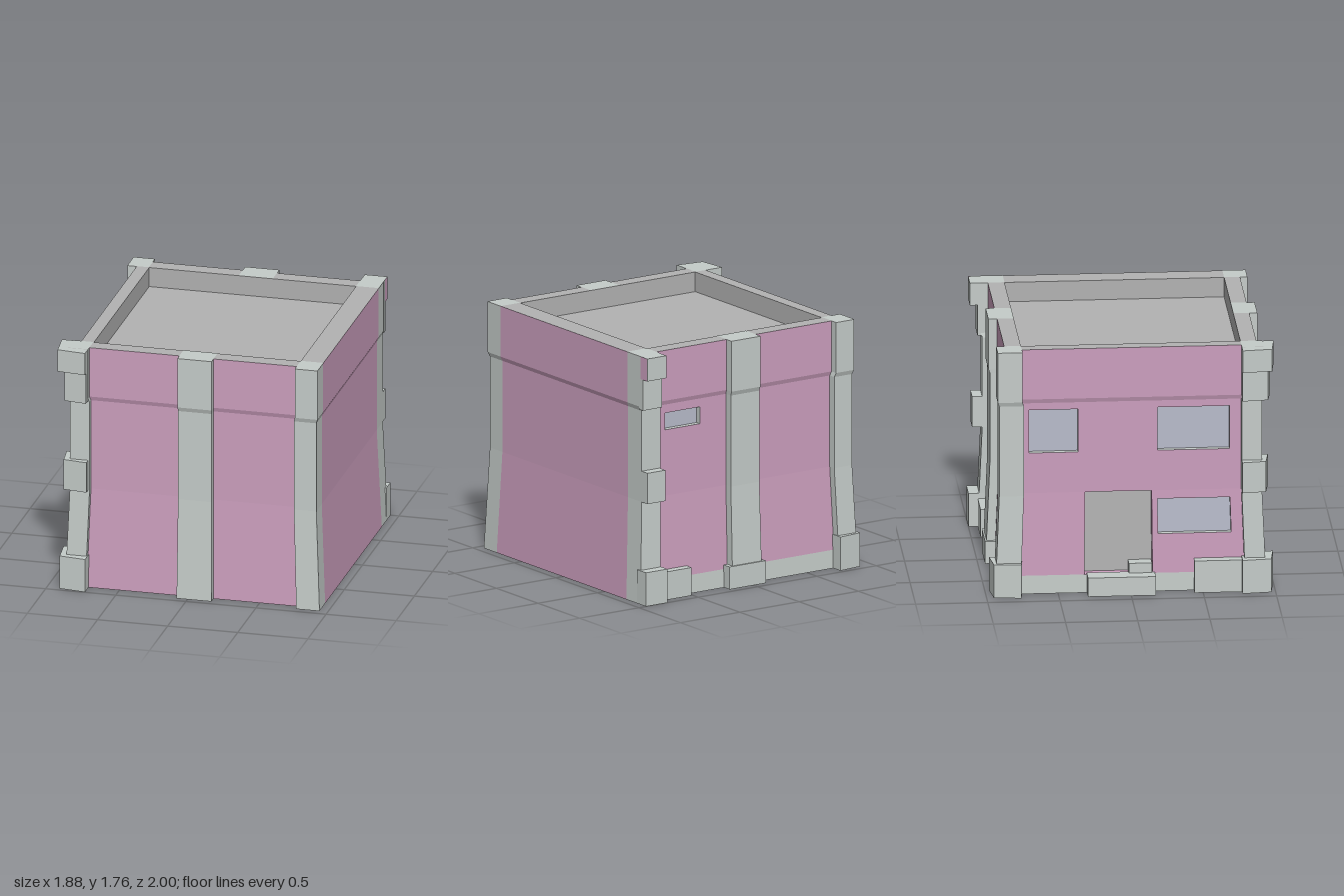
import * as THREE from 'three';

const mat = (color) => new THREE.MeshStandardMaterial({ color, flatShading: true, side: THREE.DoubleSide });
const STONE = mat(0xc5ccc9), PINK = mat(0xcc9fbe), ROOF = mat(0xb2b2b2), GLASS = mat(0xb8bccb);

const TOP = 1.76, ROOF_Y = 1.62, PLINTH = 0.13;
// Flare of the walls: plan scale at each height
const FLARE = [[0, 1.033], [0.72, 1], [1.37, 1], [1.4, 1.012], [TOP, 1.012]];
function flare(y) {
  for (let i = 1; i < FLARE.length; i++) {
    const [y0, s0] = FLARE[i - 1], [y1, s1] = FLARE[i];
    if (y <= y1) return s0 + (s1 - s0) * (y - y0) / (y1 - y0);
  }
  return FLARE[FLARE.length - 1][1];
}

// Openings: a, b run along the wall (x or z)
const leftHoles = [
  { a: 0.19, b: 0.69, y0: 1.01, y1: 1.32, depth: 0.04, name: 'window' },
  { a: 0.19, b: 0.69, y0: 0.41, y1: 0.66, depth: 0.04, name: 'window' },
  { a: -0.70, b: -0.36, y0: 1.01, y1: 1.32, depth: 0.04, name: 'window' },
  { a: -0.31, b: 0.15, y0: PLINTH, y1: 0.72, depth: 0.08, name: 'door' },
];
const backHoles = [{ a: 0.385, b: 0.68, y0: 1.19, y1: 1.31, depth: 0.04, name: 'window' }];

// Plan outline at mid height: x, z, and the wall panel that starts at the point
const PLAN = [
  [-0.85, 0.91], [-0.71, 0.91], [-0.71, 0.87, { name: 'frontWall' }],
  [-0.075, 0.87], [-0.075, 0.925], [0.165, 0.925], [0.165, 0.87, { name: 'frontWall' }],
  [0.75, 0.87], [0.75, 0.92], [0.91, 0.92], [0.91, 0.77, { name: 'plainSideWall' }],
  [0.91, -0.74], [0.91, -0.905], [0.75, -0.905], [0.75, -0.855, { name: 'backWall', plinth: true, holes: backHoles }],
  [0.165, -0.855], [0.165, -0.915], [-0.075, -0.915], [-0.075, -0.855, { name: 'backWall', plinth: true }],
  [-0.71, -0.855], [-0.71, -0.91], [-0.86, -0.91], [-0.86, -0.74],
  [-0.795, -0.74, { name: 'doorWall', plinth: true, holes: leftHoles }], [-0.795, 0.77], [-0.85, 0.77],
];

export function createModel() {
  const group = new THREE.Group();

  const add = (name, geometry, material) => {
    const mesh = new THREE.Mesh(geometry, material);
    mesh.name = name;
    group.add(mesh);
    return mesh;
  };

  // Mesh from a list of four-cornered faces
  const addQuads = (name, quads, material) => {
    if (!quads.length) return;
    const pos = quads.flatMap(([a, b, c, d]) => [a, b, c, a, c, d].flatMap((p) => p.toArray()));
    const g = new THREE.BufferGeometry();
    g.setAttribute('position', new THREE.Float32BufferAttribute(pos, 3));
    g.computeVertexNormals();
    add(name, g, material);
  };

  // Upright prism over a plan outline
  const prism = (name, pts, y0, y1) => {
    const shape = new THREE.Shape(pts.map(([x, z]) => new THREE.Vector2(x, -z)));
    const g = new THREE.ExtrudeGeometry(shape, { depth: y1 - y0, bevelEnabled: false });
    g.rotateX(-Math.PI / 2).translate(0, y0, 0);
    add(name, g, STONE);
  };
  const rect = (x0, x1, z0, z1) => [[x0, z1], [x1, z1], [x1, z0], [x0, z0]];

  // Flared walls, piers and recessed openings
  const piers = [], plinth = [];
  PLAN.forEach(([x0, z0, panel], i) => {
    const [x1, z1] = PLAN[(i + 1) % PLAN.length];
    const alongX = Math.abs(x1 - x0) > Math.abs(z1 - z0);
    const toT = (u) => (alongX ? (u - x0) / (x1 - x0) : (u - z0) / (z1 - z0));
    const point = (t, y) => {
      const s = flare(y);
      return new THREE.Vector3((x0 + (x1 - x0) * t) * s, y, (z0 + (z1 - z0) * t) * s);
    };
    const holes = (panel?.holes ?? []).map((h) => {
      const [t0, t1] = [toT(h.a), toT(h.b)].sort((p, q) => p - q);
      return { ...h, t0, t1 };
    });
    const sorted = (list) => [...new Set(list)].sort((p, q) => p - q);
    const ts = sorted([0, 1, ...holes.flatMap((h) => [h.t0, h.t1])]);
    const ys = sorted([...FLARE.map((f) => f[0]), ...(panel?.plinth ? [PLINTH] : []), ...holes.flatMap((h) => [h.y0, h.y1])]);

    const wall = [];
    for (let j = 1; j < ts.length; j++) for (let k = 1; k < ys.length; k++) {
      const tm = (ts[j] + ts[j - 1]) / 2, ym = (ys[k] + ys[k - 1]) / 2;
      if (holes.some((h) => tm > h.t0 && tm < h.t1 && ym > h.y0 && ym < h.y1)) continue;
      const quad = [point(ts[j - 1], ys[k - 1]), point(ts[j], ys[k - 1]), point(ts[j], ys[k]), point(ts[j - 1], ys[k])];
      (!panel ? piers : panel.plinth && ym < PLINTH ? plinth : wall).push(quad);
    }
    if (panel) addQuads(panel.name, wall, PINK);

    const inward = new THREE.Vector3(z1 - z0, 0, x0 - x1).normalize();
    for (const h of holes) {
      const outer = [point(h.t0, h.y0), point(h.t1, h.y0), point(h.t1, h.y1), point(h.t0, h.y1)];
      const inner = outer.map((p) => p.clone().addScaledVector(inward, h.depth));
      const isDoor = h.name === 'door';
      addQuads(h.name, [inner], isDoor ? ROOF : GLASS);
      const reveal = outer.map((p, n) => [p, outer[(n + 1) % 4], inner[(n + 1) % 4], inner[n]]);
      addQuads(h.name + 'Reveal', reveal, isDoor ? PINK : STONE);
    }
  });
  addQuads('piers', piers, STONE);
  addQuads('plinth', plinth, STONE);

  // Parapet top, its inner sides and the sunken roof
  const s = flare(TOP);
  const inner = rect(-0.715, 0.76, -0.75, 0.77);
  const parapet = new THREE.Shape(PLAN.map(([x, z]) => new THREE.Vector2(x * s, -z * s)));
  parapet.holes.push(new THREE.Path(inner.map(([x, z]) => new THREE.Vector2(x, -z))));
  add('parapetTop', new THREE.ShapeGeometry(parapet).rotateX(-Math.PI / 2).translate(0, TOP, 0), ROOF);
  const level = (pts, y) => pts.map(([x, z]) => new THREE.Vector3(x, y, z));
  const lo = level(inner, ROOF_Y), hi = level(inner, TOP);
  addQuads('parapetInside', lo.map((p, n) => [lo[(n + 1) % 4], p, hi[n], hi[(n + 1) % 4]]), ROOF);
  addQuads('roof', [lo], ROOF);

  // Stone caps on top of the piers
  const caps = [
    rect(-0.86, -0.718, 0.77, 0.92), rect(-0.076, 0.167, 0.77, 0.936), rect(0.76, 0.921, 0.77, 0.931),
    rect(0.76, 0.921, -0.916, -0.75), rect(-0.076, 0.167, -0.926, -0.75), rect(-0.87, -0.718, -0.92, -0.75),
  ];
  addQuads('pierCaps', caps.map((c) => level(c, TOP + 0.002)), STONE);

  // Quoins on the front corner beside the door wall: reach in x and z, bottom, top
  for (const [x, z, y0, y1] of [[-0.93, 0.995, 0, 0.24], [-0.91, 0.96, 0.72, 0.94], [-0.9, 0.975, 1.38, 1.6], [-0.943, 1, 1.6, TOP]])
    prism('frontCornerQuoin', [[-0.72, 0.77], [x, 0.77], [x + 0.022, z - 0.025], [-0.72, z]], y0, y1);

  // Quoins on the back corner beside the plain wall
  for (const [x, z, y0, y1] of [[0.94, -1, 0, 0.24], [0.91, -0.975, 0.72, 0.94], [0.921, -0.937, 1.38, 1.6], [0.921, -0.99, 1.6, TOP]])
    prism('backCornerQuoin', rect(0.76, x, z, -0.89), y0, y1);
  addQuads('quoinSide', [[[1.6, -0.912], [1.6, -0.99], [TOP, -0.99], [TOP, -0.912]].map(([y, z]) => new THREE.Vector3(0.923, y, z))], PINK);

  // Blocks along the foot of the back and door walls
  prism('backDoorCornerBase', [[-0.72, -0.74], [-0.72, -0.97], [-0.9, -0.95], [-0.92, -0.76]], 0, 0.24);
  prism('backPierBase', rect(-0.105, 0.2, -0.95, -0.86), 0, 0.16);
  prism('backFootBlock', rect(0.51, 0.77, -0.935, -0.86), 0, 0.2);
  prism('sideFootBlock', rect(-0.885, -0.79, 0.44, 0.78), 0, 0.23);

  // Door steps
  prism('lowerStep', rect(-0.92, -0.79, -0.3, 0.17), 0, PLINTH + 0.005);
  prism('upperStep', rect(-0.825, -0.735, -0.01, 0.15), PLINTH, 0.205);

  return group;
}
